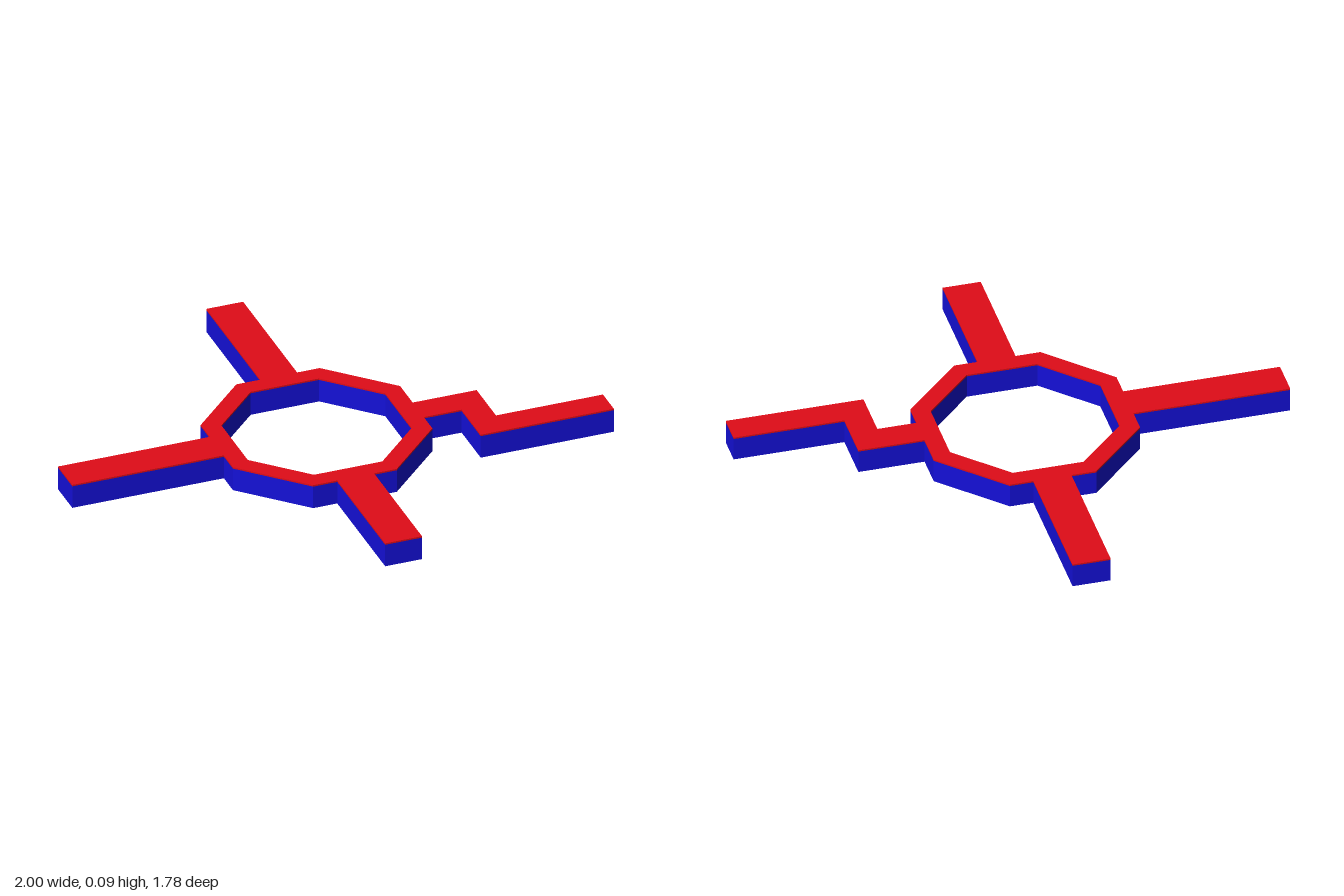
import * as THREE from 'three';

const BODY_TOP = 0.089, TOP = 0.095;
const blue = new THREE.MeshStandardMaterial({ color: 0x1410d8 });
const red = new THREE.MeshStandardMaterial({ color: 0xe00c18 });

const toPoints = (list) => list.map(([x, z]) => new THREE.Vector2(x, z));

// Flat plan in (x, z), extruded between two heights
function slab(shape, bottom, top, material, name) {
  const geometry = new THREE.ExtrudeGeometry(shape, { depth: top - bottom, bevelEnabled: false });
  geometry.rotateX(Math.PI / 2).translate(0, top, 0);
  const mesh = new THREE.Mesh(geometry, material);
  mesh.name = name;
  return mesh;
}

// Blue body with a thin red cover
function part(name, outline, hole) {
  const shape = new THREE.Shape(toPoints(outline));
  if (hole) shape.holes.push(new THREE.Path(toPoints(hole)));
  const group = new THREE.Group();
  group.name = name;
  group.add(slab(shape, 0, BODY_TOP, blue, name + 'Body'));
  group.add(slab(shape, BODY_TOP, TOP, red, name + 'Cover'));
  return group;
}

// Octagon about (cx, cz): half width r, half length of a straight side s
function octagon(cx, cz, r, s) {
  return [[r, -s], [r, s], [s, r], [-s, r], [-r, s], [-r, -s], [-s, -r], [s, -r]]
    .map(([x, z]) => [cx + x, cz + z]);
}

const rect = (x0, z0, x1, z1) => [[x0, z0], [x1, z0], [x1, z1], [x0, z1]];

export function createModel() {
  const model = new THREE.Group();
  model.name = 'crossRing';
  const cx = -0.037, cz = 0.03, r = 0.382;

  // Octagonal ring
  model.add(part('ring', octagon(cx, cz, r, 0.16), octagon(cx, cz, 0.314, 0.131)));

  // Three straight arms
  model.add(part('backArm', rect(-0.105, -0.888, 0.036, cz - r)));
  model.add(part('frontArm', rect(-0.105, cz + r, 0.036, 0.888)));
  model.add(part('rightArm', rect(-1, -0.04, cx - r, 0.1)));

  // Stepped arm
  model.add(part('steppedArm', [
    [cx + r, 0.005], [0.59, 0.005], [0.59, 0.187], [1, 0.187],
    [1, 0.295], [0.49, 0.295], [0.49, 0.105], [cx + r, 0.105],
  ].map(([x, z]) => [x, z === 0.005 ? -0.005 : z])));
  return model;
}
